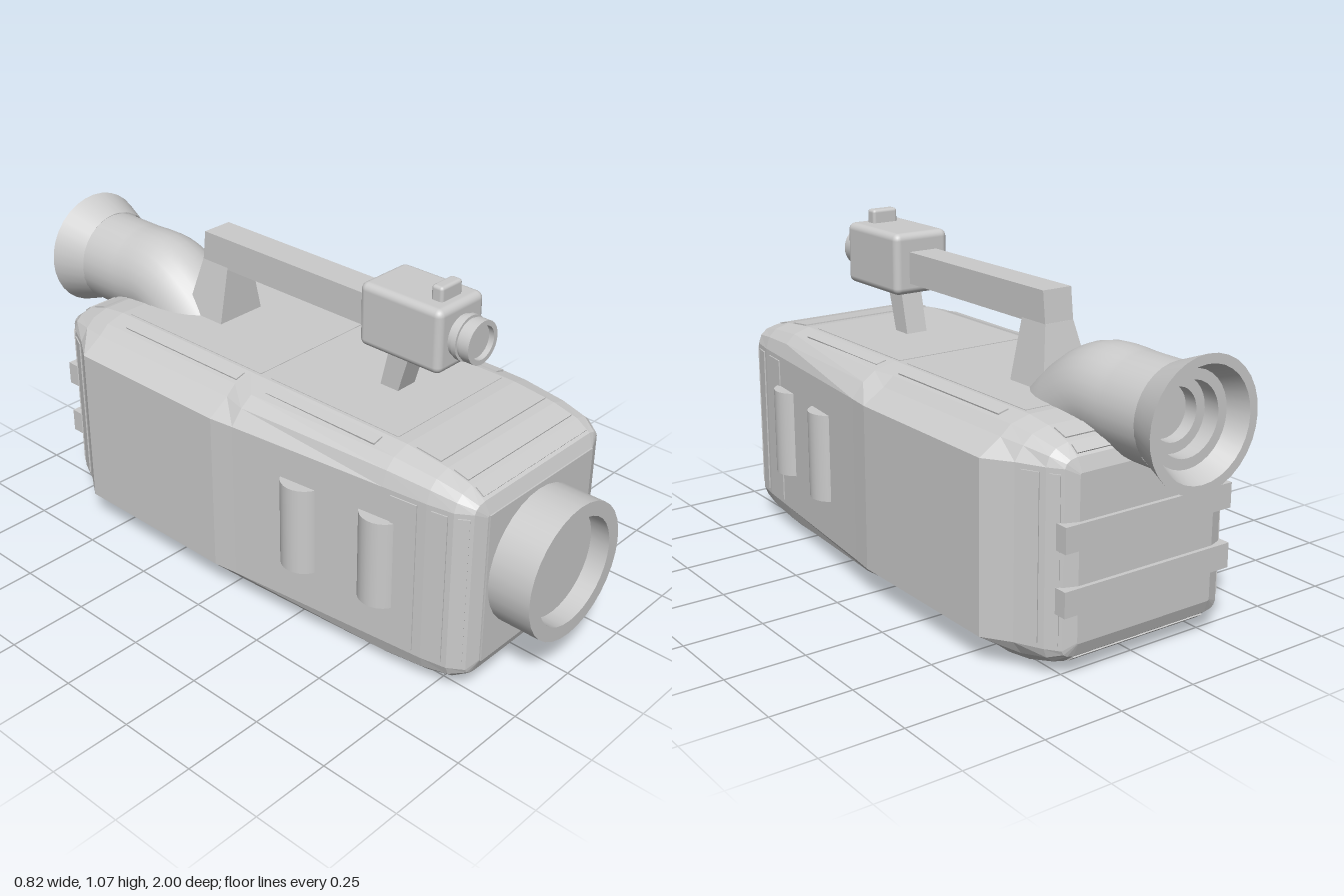
import * as THREE from 'three';
import { RoundedBoxGeometry } from 'three/addons/geometries/RoundedBoxGeometry.js';

const smooth = new THREE.MeshStandardMaterial({ color: 0xcccccc, side: THREE.DoubleSide });
const flat = new THREE.MeshStandardMaterial({ color: 0xcccccc, flatShading: true });
const MID = 0.345; // height of the body's centre line

// Body stations from front to back: z, half width, half height, corner fullness
const STATIONS = [
  [0.86, 0.24, 0.24, 0.85], [0.845, 0.28, 0.28, 0.85], [0.80, 0.31, 0.31, 0.85],
  [0.72, 0.325, 0.33, 0.85], [0.58, 0.34, 0.345, 0.85], [0.06, 0.395, 0.345, 0.75],
  [-0.02, 0.405, 0.345, 0.58], [-0.59, 0.405, 0.345, 0.58], [-0.67, 0.35, 0.335, 0.75],
  [-0.75, 0.31, 0.31, 0.85], [-0.79, 0.28, 0.28, 0.85], [-0.805, 0.24, 0.24, 0.85],
];

// Counter-clockwise outline with four bevelled corners
function outline([, w, h, k]) {
  const cx = Math.min(0.24, w - 0.005), cy = Math.min(0.255, h - 0.005);
  const corner = [[1, 0], [k, 0.5], [k * 0.65, 0.82], [0, 1]]
    .map(([u, v]) => [cx + (w - cx) * u, cy + (h - cy) * v]);
  const back = [...corner].reverse();
  return [
    ...corner, ...back.map(([x, y]) => [-x, y]),
    ...corner.map(([x, y]) => [-x, -y]), ...back.map(([x, y]) => [x, -y]),
  ];
}

function bodyGeometry() {
  const pos = [], idx = [], n = 16, last = STATIONS.length - 1;
  STATIONS.forEach((s) => outline(s).forEach(([x, y]) => pos.push(x, y + MID, s[0])));
  const front = pos.length / 3;
  pos.push(0, MID, STATIONS[0][0], 0, MID, STATIONS[last][0]);
  for (let j = 0; j < n; j++) {
    const j2 = (j + 1) % n;
    for (let i = 0; i < last; i++) {
      const a = i * n + j, b = i * n + j2;
      idx.push(a, a + n, b, b, a + n, b + n);
    }
    idx.push(front, j, j2, front + 1, last * n + j2, last * n + j);
  }
  const g = new THREE.BufferGeometry();
  g.setAttribute('position', new THREE.Float32BufferAttribute(pos, 3));
  g.setIndex(idx);
  const out = g.toNonIndexed();
  out.computeVertexNormals();
  return out;
}

// Box whose lower and upper rectangles differ: [x half width, z min, z max]
function taperedBox(y0, lower, y1, upper) {
  const g = new THREE.BoxGeometry(2, 2, 2).toNonIndexed(), p = g.attributes.position;
  for (let i = 0; i < p.count; i++) {
    const top = p.getY(i) > 0, [w, z0, z1] = top ? upper : lower;
    p.setXYZ(i, p.getX(i) * w, top ? y1 : y0, p.getZ(i) > 0 ? z1 : z0);
  }
  g.computeVertexNormals();
  return g;
}

// Turned part along z from [radius, z] points, with crisp steps
function turned(points, segments = 32) {
  const profile = [];
  points.forEach(([r, z], i) => {
    profile.push(new THREE.Vector2(r, z));
    if (i > 0 && i < points.length - 1) profile.push(new THREE.Vector2(r, z));
  });
  const parts = [];
  for (let i = 0; i < profile.length; i += 2) {
    parts.push(new THREE.LatheGeometry([profile[i], profile[i + 1]], segments).rotateX(Math.PI / 2));
  }
  return parts;
}

export function createModel() {
  const model = new THREE.Group();
  const add = (name, geometry, x = 0, y = 0, z = 0, material = smooth, parent = model) => {
    const mesh = new THREE.Mesh(geometry, material);
    mesh.name = name;
    mesh.position.set(x, y, z);
    parent.add(mesh);
    return mesh;
  };
  const addTurned = (name, points, x, y) => {
    const group = new THREE.Group();
    group.name = name;
    group.position.set(x, y, 0);
    turned(points).forEach((g) => add(name + 'Surface', g, 0, 0, 0, smooth, group));
    model.add(group);
  };
  const box = (x, y, z) => new THREE.BoxGeometry(x, y, z);

  add('body', bodyGeometry(), 0, 0, 0, flat);

  // Trim strips following the rounded ends of the body
  for (const i of [1, 2, 3, 8, 9]) {
    const [z0, w0, h0] = STATIONS[i], [z1, w1, h1] = STATIONS[i + 1];
    const z = (z0 + z1) / 2;
    for (const s of [-1, 1]) {
      const len = Math.hypot(z1 - z0, h1 - h0) * 0.6;
      const level = add('endStrip', box(0.47, 0.008, len), 0, MID + s * (h0 + h1) / 2, z, flat);
      level.rotation.x = -s * Math.atan2(h1 - h0, z1 - z0) + (s > 0 ? Math.PI : -Math.PI);
      const wide = Math.hypot(z1 - z0, w1 - w0) * 0.6;
      const upright = add('cornerStrip', box(0.008, 0.48, wide), s * (w0 + w1) / 2, MID, z, flat);
      upright.rotation.y = s * Math.atan2(w1 - w0, z1 - z0);
    }
  }
  add('frontPanel', box(0.47, 0.48, 0.008), 0, MID, 0.86, flat);

  // Thin panels and rails on the top and underside, split by a cross gap
  for (const [z0, z1] of [[0.54, 0.055], [0.015, -0.56]]) {
    const z = (z0 + z1) / 2, len = z0 - z1;
    for (const s of [-1, 1]) {
      add('deckPanel', box(0.46, 0.006, len), 0, MID + s * 0.344, z, flat);
      for (const side of [-1, 1]) {
        const rail = add('edgeRail', box(0.035, 0.006, len * 0.85), side * 0.272, MID + s * 0.338, z, flat);
        rail.rotation.z = -side * s * 0.24;
      }
    }
  }

  // Rounded side grips
  for (const s of [-1, 1]) {
    for (const [x, z] of [[0.308, 0.56], [0.338, 0.29]]) {
      add('sideGrip', new THREE.CylinderGeometry(0.07, 0.07, 0.28, 24), s * x, 0.36, z);
    }
  }

  // Rear bumper bars
  for (const y of [0.235, 0.415]) add('rearBar', box(0.59, 0.075, 0.065), 0, y, -0.785, flat);

  // Main lens with recessed glass
  addTurned('mainLens', [[0.209, 0.84], [0.209, 1], [0.165, 1], [0.165, 0.94], [0, 0.94]], -0.018, 0.36);

  // Carrying handle
  add('handleBar', box(0.1, 0.1, 0.68), 0, 0.914, -0.06, flat);
  add('handlePost', taperedBox(0.67, [0.092, -0.46, -0.302], 0.87, [0.05, -0.412, -0.305]), 0, 0, 0, flat);
  add('handleRearCap', taperedBox(0.865, [0.05, -0.412, -0.305], 0.964, [0.05, -0.4, -0.305]), 0, 0, 0, flat);
  add('frontStrut', taperedBox(0.68, [0.037, 0.305, 0.37], 0.85, [0.037, 0.345, 0.42]), 0, 0, 0, flat);

  // Small front unit on the handle
  add('frontUnit', new RoundedBoxGeometry(0.196, 0.194, 0.29, 3, 0.022), 0.002, 0.925, 0.415);
  add('frontUnitButton', new RoundedBoxGeometry(0.09, 0.06, 0.04, 2, 0.01), 0, 1.035, 0.503);
  addTurned('smallLens', [[0.062, 0.55], [0.062, 0.575], [0.068, 0.575], [0.068, 0.59], [0.06, 0.59],
    [0.06, 0.6], [0.065, 0.6], [0.065, 0.632], [0.05, 0.632], [0.05, 0.615], [0, 0.615]], 0.002, 0.922);

  // Viewfinder: bent tube rising from the body, flared eyecup with stepped inside
  const path = new THREE.CatmullRomCurve3([[0.715, -0.9], [0.715, -0.76], [0.714, -0.63], [0.656, -0.53], [0.54, -0.41]]
    .map(([y, z]) => new THREE.Vector3(0, y, z)));
  add('viewfinderTube', new THREE.TubeGeometry(path, 24, 0.147, 28));
  addTurned('eyecup', [[0.147, -0.895], [0.187, -1], [0.16, -1], [0.135, -0.94], [0.105, -0.94],
    [0.105, -0.89], [0.075, -0.89], [0.075, -0.85], [0, -0.85]], 0, 0.72);

  return model;
}
